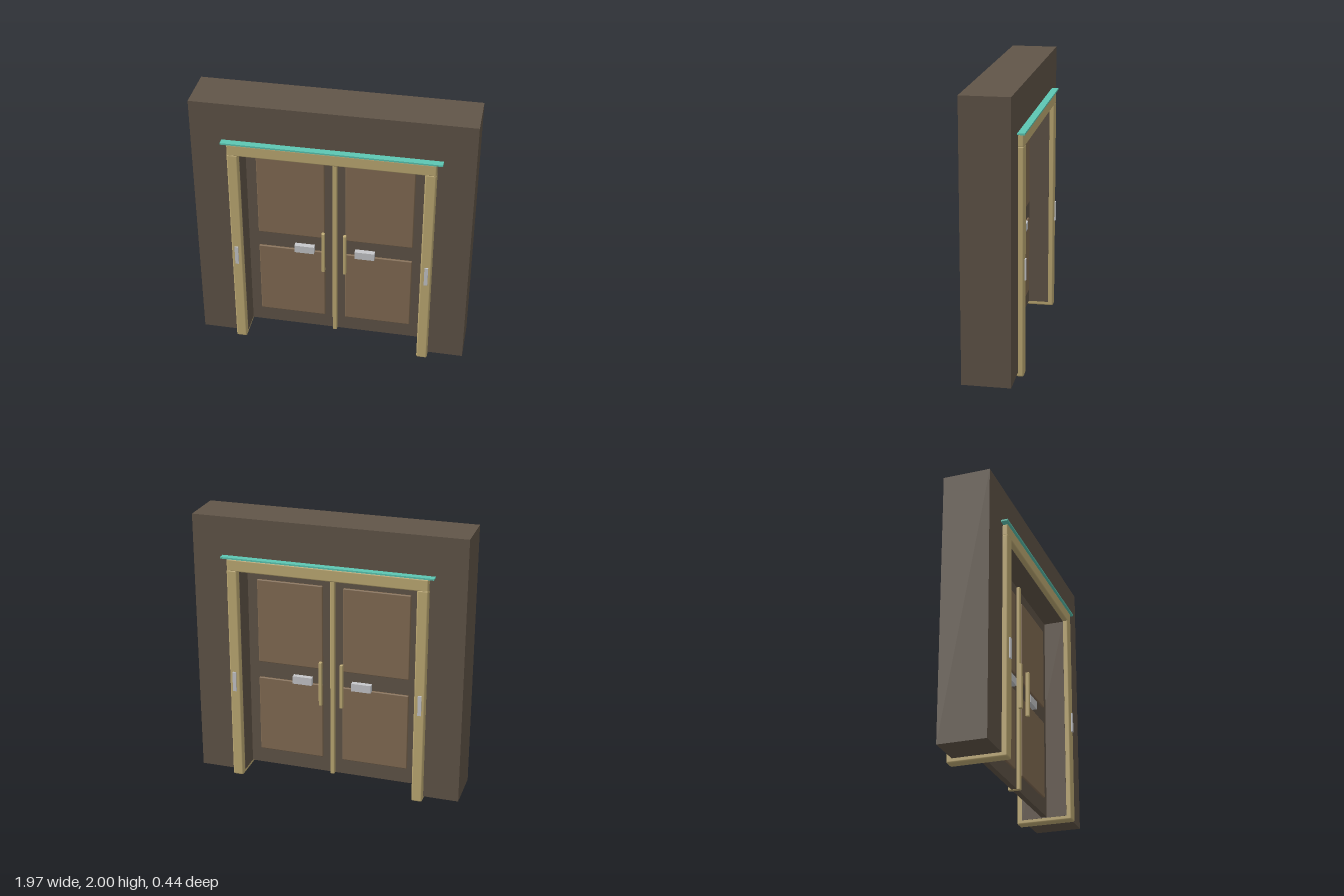
import * as THREE from 'three';
import { RoundedBoxGeometry } from 'three/addons/geometries/RoundedBoxGeometry.js';

const material = (name, color) => {
  const m = new THREE.MeshStandardMaterial({ color });
  m.name = name;
  return m;
};

export function createModel() {
  const darkWood = material('darkWood', 0x615548);
  const panelWood = material('panelWood', 0x846d54);
  const brass = material('brass', 0xc0ac75);
  const steel = material('steel', 0xc7c8cb);
  const teal = material('teal', 0x5dc7b3);

  const model = new THREE.Group();
  model.name = 'doubleDoorway';

  // Box given by its limits on each axis; a radius softens the edges
  function box(name, mat, [x0, x1], [y0, y1], [z0, z1], radius = 0) {
    const size = [x1 - x0, y1 - y0, z1 - z0];
    const geometry = radius
      ? new RoundedBoxGeometry(...size, 2, radius)
      : new THREE.BoxGeometry(...size);
    const mesh = new THREE.Mesh(geometry, mat);
    mesh.name = name;
    mesh.position.set((x0 + x1) / 2, (y0 + y1) / 2, (z0 + z1) / 2);
    model.add(mesh);
  }
  const mirrored = (a, b, side) => (side > 0 ? [a, b] : [-b, -a]);

  // Wall with the doorway cut out of its lower edge
  const outline = new THREE.Shape([
    [-0.985, 0.03], [-0.645, 0.03], [-0.645, 1.61], [0.645, 1.61],
    [0.645, 0.03], [0.985, 0.03], [0.985, 2], [-0.985, 2],
  ].map(([x, y]) => new THREE.Vector2(x, y)));
  const wallGeometry = new THREE.ExtrudeGeometry(outline, { depth: 0.34, bevelEnabled: false });
  wallGeometry.translate(0, 0, -0.17);
  const wall = new THREE.Mesh(wallGeometry, darkWood);
  wall.name = 'wall';
  model.add(wall);

  // Frame running through the wall, and the strip between the doors
  box('frameHeader', brass, [-0.725, 0.725], [1.615, 1.705], [-0.208, 0.208], 0.01);
  box('centreStrip', brass, [-0.016, 0.016], [0.03, 1.605], [-0.045, 0.045], 0.005);

  for (const side of [1, -1]) {
    // Post, door leaf
    box('framePost', brass, mirrored(0.647, 0.727, side), [0, 1.625], [-0.21, 0.21], 0.012);
    box('doorLeaf', darkWood, mirrored(0.004, 0.641, side), [0.035, 1.606], [-0.02, 0.02]);

    // Fittings repeat on both faces of the doorway
    for (const face of [1, -1]) {
      const depth = (a, b) => mirrored(a, b, face);
      for (const height of [[0.155, 0.745], [0.87, 1.51]]) {
        box('doorPanel', panelWood, mirrored(0.075, 0.567, side), height, depth(0.01, 0.034), 0.007);
      }
      box('handle', brass, mirrored(0.067, 0.091, side), [0.6, 0.943], depth(0.058, 0.086), 0.005);
      box('pushPlate', steel, mirrored(0.15, 0.295, side), [0.743, 0.802], depth(0.03, 0.068));
      box('postPlate', steel, mirrored(0.677, 0.703, side), [0.695, 0.845], depth(0.2, 0.22));
    }
  }

  // Thin ledge above the header on each face
  for (const face of [1, -1]) {
    box('lightLedge', teal, [-0.765, 0.765], [1.708, 1.72], mirrored(0.16, 0.22, face));
  }

  return model;
}
